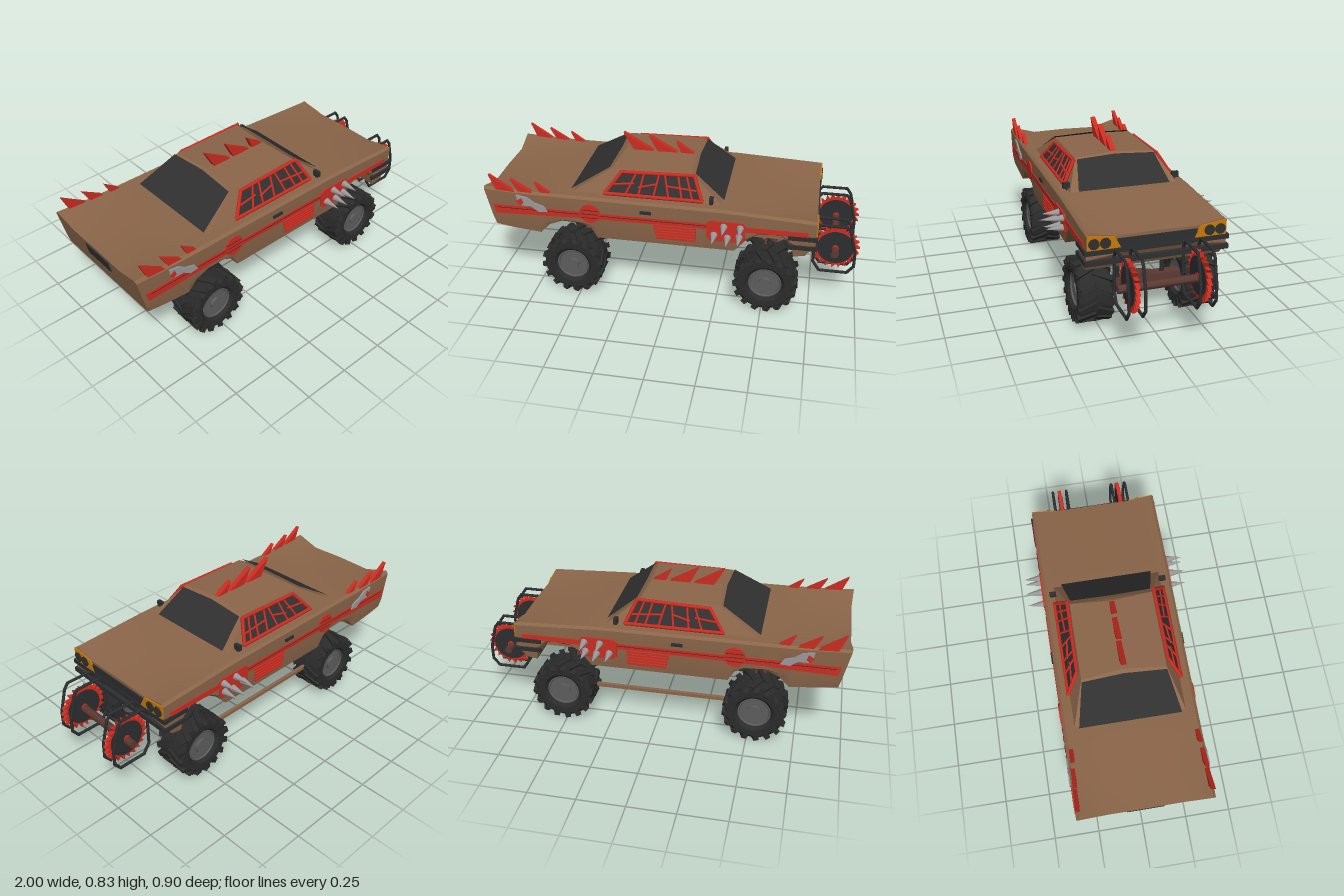
import * as THREE from 'three';
import { toCreasedNormals } from 'three/addons/utils/BufferGeometryUtils.js';
import { ConvexGeometry } from 'three/addons/geometries/ConvexGeometry.js';

const V = (x, y, z) => new THREE.Vector3(x, y, z);
const material = (name, color) => Object.assign(new THREE.MeshStandardMaterial({ color }), { name });

export function createModel() {
  const car = new THREE.Group();
  car.name = 'spikedCar';
  const paint = material('brown paint', 0x8a6549);
  const red = material('red trim', 0xcc2c20);
  const glass = material('dark glass', 0x303030);
  const black = material('black metal', 0x2c2e30);
  const rubber = material('tyre rubber', 0x2b2b2b);
  const steel = material('steel', 0x9a9a9c);
  const rimGrey = material('rim grey', 0x5e5e5e);
  const orange = material('orange lamp', 0xc87a08);
  const rust = material('rusty axle', 0x5c3a32);
  glass.side = THREE.DoubleSide;

  const add = (name, geo, mat, x = 0, y = 0, z = 0, parent = car) => {
    const m = new THREE.Mesh(geo, mat);
    m.name = name;
    m.position.set(x, y, z);
    parent.add(m);
    return m;
  };
  const box = (name, mat, w, h, d, x, y, z) => add(name, new THREE.BoxGeometry(w, h, d), mat, x, y, z);
  const extrude = (pts, depth) => new THREE.ExtrudeGeometry(
    new THREE.Shape(pts.map(p => new THREE.Vector2(...p))), { depth, bevelEnabled: false });
  // flat outline repeated on both flanks of the car
  const flank = (name, pts, mat, z = 0.354, depth = 0.008) => {
    for (const s of [1, -1]) add(name, extrude(pts, depth), mat, 0, 0, s > 0 ? z : -z - depth);
  };
  const rect = (x0, y0, x1, y1) => [[x0, y0], [x1, y0], [x1, y1], [x0, y1]];
  // round rod between two points
  const rod = (name, a, b, r, mat) => {
    const m = add(name, new THREE.CylinderGeometry(r, r, a.distanceTo(b) + r, 7), mat);
    m.position.lerpVectors(a, b, 0.5);
    m.quaternion.setFromUnitVectors(V(0, 1, 0), b.clone().sub(a).normalize());
  };
  const interp = (keys, x) => {
    for (let i = 1; i < keys.length; i++) {
      const [x0, y0] = keys[i - 1], [x1, y1] = keys[i];
      if (x <= x1) return y0 + (y1 - y0) * Math.max(0, (x - x0) / (x1 - x0));
    }
    return keys[keys.length - 1][1];
  };

  // Body shell: cross-sections lofted along x, the lower edge follows the wheel arches
  const stations = [[-1, 0.39], [-0.85, 0.375], [-0.701, 0.36], [-0.7, 0.365], [-0.65, 0.415], [-0.58, 0.445],
    [-0.47, 0.44], [-0.42, 0.415], [-0.39, 0.365], [-0.389, 0.36], [0, 0.36], [0.28, 0.36], [0.345, 0.36],
    [0.35, 0.365], [0.4, 0.425], [0.46, 0.468], [0.54, 0.477], [0.59, 0.474], [0.64, 0.42], [0.65, 0.365],
    [0.651, 0.36], [0.76, 0.37]];
  const shoulder = [[-1, 0.614], [-0.8, 0.602], [-0.5, 0.6], [0.28, 0.595], [0.76, 0.573]];
  const crown = [[-1, 0.58], [-0.55, 0.602], [0.28, 0.602], [0.76, 0.552]];
  const floor = [[-1, 0.39], [-0.7, 0.36], [0.65, 0.36], [0.76, 0.37]];
  const rings = stations.map(([x, arch]) => {
    const f = interp(floor, x), s = interp(shoulder, x), c = interp(crown, x);
    const half = [[0, f], [0.19, f], [0.19, arch], [0.345, arch], [0.354, Math.max(0.44, arch + 0.01)],
      [0.353, s - 0.012], [0.338, s], [0.2, c - 0.004], [0, c]];
    const lean = y => x === -1 ? -0.95 - 0.05 * (y - 0.39) / 0.222
      : x === 0.76 ? 0.76 - Math.max(0, 0.42 - y) : x;
    const mirrored = half.slice(1, -1).reverse().map(([z, y]) => [-z, y]);
    return [...half, ...mirrored].map(([z, y]) => [lean(y), y, z]);
  });
  const n = rings[0].length, idx = [], pos = rings.flat(2), last = (rings.length - 1) * n;
  for (let i = 0; i < rings.length - 1; i++) for (let j = 0; j < n; j++) {
    const a = i * n + j, b = i * n + (j + 1) % n, c = b + n, d = a + n;
    idx.push(a, d, c, a, c, b);
  }
  pos.push(-0.975, 0.5, 0, 0.76, 0.48, 0);
  for (let j = 0; j < n; j++) {
    const k = (j + 1) % n;
    idx.push(last + n, j, k, last + n + 1, last + k, last + j);
  }
  const shell = new THREE.BufferGeometry();
  shell.setAttribute('position', new THREE.Float32BufferAttribute(pos, 3));
  shell.setIndex(idx);
  add('bodyShell', toCreasedNormals(shell, 0.4), paint);

  // Cabin with windscreen, rear window and barred side windows
  const sideZ = y => 0.3 - (y - 0.595) * 0.6;
  const cabin = [];
  for (const s of [1, -1]) cabin.push(V(-0.55, 0.585, s * 0.3), V(0.28, 0.585, s * 0.3),
    V(-0.32, 0.725, s * sideZ(0.725)), V(0.1, 0.728, s * sideZ(0.728)));
  cabin.push(V(-0.3, 0.737, 0), V(0.08, 0.739, 0));
  add('cabin', new ConvexGeometry(cabin), paint);
  const pane = (name, pts) => {
    const g = new THREE.BufferGeometry().setFromPoints(pts);
    g.setIndex(pts.slice(2).flatMap((_, i) => [0, i + 1, i + 2]));
    g.computeVertexNormals();
    add(name, g, glass);
  };
  pane('windscreen', [V(0.276, 0.602, 0.25), V(0.276, 0.602, -0.25), V(0.12, 0.725, -0.215), V(0.112, 0.735, 0), V(0.12, 0.725, 0.215)]);
  pane('rearWindow', [V(-0.54, 0.604, -0.27), V(-0.54, 0.604, 0.27), V(-0.335, 0.727, 0.222), V(-0.325, 0.738, 0), V(-0.335, 0.727, -0.222)]);
  const outline = [[-0.35, 0.606], [-0.27, 0.708], [0.115, 0.717], [0.165, 0.606]];
  const bars = [[-0.24, 0.606, -0.19, 0.71], [-0.17, 0.606, -0.15, 0.71], [-0.09, 0.606, -0.07, 0.71], [-0.01, 0.606, -0.04, 0.714],
    [0.06, 0.606, 0.03, 0.714], [0.115, 0.606, 0.075, 0.714], [-0.31, 0.65, -0.2, 0.66], [-0.17, 0.645, -0.08, 0.665], [-0.02, 0.66, 0.13, 0.65]];
  for (const s of [1, -1]) {
    const at = ([x, y], off = 0) => V(x, y + off * 0.5, s * (sideZ(y) + off));
    pane('sideWindow', outline.map(p => at(p, 0.005)));
    outline.forEach((p, i) => rod('windowFrame', at(p, 0.006), at(outline[(i + 1) % 4], 0.006), 0.01, red));
    bars.forEach(b => rod('windowBar', at(b.slice(0, 2), 0.006), at(b.slice(2), 0.006), 0.006, red));
    box('mirror', black, 0.02, 0.032, 0.036, 0.215, 0.622, s * 0.302);
    rod('mirrorArm', V(0.215, 0.59, s * 0.3), V(0.215, 0.62, s * 0.3), 0.006, black);
  }

  // Red fins on roof and tail, all raked backwards
  const fin = (name, tip, x0, x1, y0, z, w) =>
    add(name, extrude([[x0, y0], [x1, y0], tip], w), red, 0, 0, z - w / 2);
  fin('roofFin', [-0.31, 0.832], -0.25, -0.13, 0.728, 0, 0.028);
  fin('roofFin', [-0.17, 0.825], -0.12, 0, 0.73, 0, 0.028);
  fin('roofFin', [-0.02, 0.8], 0.01, 0.09, 0.73, 0, 0.028);
  for (const s of [1, -1]) {
    fin('tailFin', [-0.968, 0.685], -0.93, -0.83, 0.596, s * 0.338, 0.022);
    fin('tailFin', [-0.85, 0.667], -0.81, -0.73, 0.596, s * 0.334, 0.022);
    fin('tailFin', [-0.72, 0.655], -0.69, -0.63, 0.594, s * 0.328, 0.022);
  }

  // Flank decoration
  flank('stripe', [[-0.955, 0.515], [-0.94, 0.465], [-0.8, 0.468], [-0.4, 0.482], [0.72, 0.485], [0.72, 0.513]], red, 0.354, 0.004);
  flank('stripeEdge', rect(-0.93, 0.5, 0.2, 0.503), black, 0.354, 0.005);
  const disc = Array.from({ length: 12 }, (_, i) => [-0.42 + 0.055 * Math.cos(i * Math.PI / 6), 0.51 + 0.055 * Math.sin(i * Math.PI / 6)]);
  flank('roundVent', disc, red);
  for (let i = 0; i < 3; i++) flank('ventSlot', rect(-0.465, 0.485 + i * 0.022, -0.375, 0.488 + i * 0.022), black, 0.354, 0.009);
  for (let i = 0; i < 5; i++) flank('louvre', rect(-0.08 + i * 0.004, 0.468 - i * 0.017, 0.145, 0.478 - i * 0.017), red);
  flank('spikePlate', [[0.2, 0.44], [0.22, 0.42], [0.39, 0.42], [0.4, 0.44], [0.4, 0.52], [0.385, 0.535], [0.22, 0.535], [0.2, 0.52]], red);
  flank('doorHandle', rect(-0.15, 0.537, -0.09, 0.553), black, 0.35, 0.012);
  flank('emblemBlade', [[-0.81, 0.535], [-0.79, 0.525], [-0.74, 0.525], [-0.7, 0.495], [-0.65, 0.5], [-0.67, 0.53], [-0.72, 0.545], [-0.76, 0.575], [-0.82, 0.585]], steel);
  flank('emblemGrip', [[-0.82, 0.55], [-0.8, 0.525], [-0.78, 0.54], [-0.79, 0.57]], red, 0.354, 0.009);
  for (const s of [1, -1])
    for (const [x, y] of [[0.24, 0.455], [0.29, 0.508], [0.31, 0.445], [0.37, 0.455], [0.375, 0.508]]) {
      const c = add('flankSpike', new THREE.ConeGeometry(0.021, 0.095, 8), steel, x, y, s * 0.405);
      c.rotation.x = s * Math.PI / 2;
    }

  // Front: grille, lamps and wrap-round bumper bars
  box('grille', black, 0.012, 0.05, 0.4, 0.76, 0.51, 0);
  for (const y of [0.477, 0.424]) {
    box('bumperBar', black, 0.025, 0.024, 0.73, 0.757, y, 0);
    for (const s of [1, -1]) box('bumperEnd', black, 0.145, 0.022, 0.014, 0.69, y, s * 0.357);
  }
  for (const s of [1, -1]) {
    add('lampPanel', extrude([[0.185, 0.49], [0.35, 0.49], [0.35, 0.567], [0.215, 0.548]].map(([z, y]) => [-s * z, y]), 0.008),
      orange, 0.759).rotation.y = Math.PI / 2;
    for (const z of [0.262, 0.318])
      add('headlamp', new THREE.CylinderGeometry(0.027, 0.027, 0.02, 14), glass, 0.762, 0.522, s * z).rotation.z = Math.PI / 2;
  }
  box('tailPanel', black, 0.012, 0.07, 0.19, -0.98, 0.525, 0).rotation.z = 0.22;

  // Wheels: tyre with chevron lugs, dished rim and hub
  const tyreProfile = [[0.086, -0.068], [0.105, -0.086], [0.14, -0.088], [0.157, -0.074], [0.159, 0],
    [0.157, 0.074], [0.14, 0.088], [0.105, 0.086], [0.086, 0.068]].map(p => new THREE.Vector2(...p));
  const tyreGeo = toCreasedNormals(new THREE.LatheGeometry(tyreProfile, 24), 0.5);
  const lugGeo = new THREE.BoxGeometry(0.028, 0.022, 0.1);
  for (const x of [-0.535, 0.515]) for (const s of [1, -1]) {
    const wheel = new THREE.Group();
    wheel.name = 'wheel';
    wheel.position.set(x, 0.175, s * 0.275);
    car.add(wheel);
    const turned = (name, geo, mat, z = 0) => { add(name, geo, mat, 0, 0, z, wheel).rotation.x = Math.PI / 2; };
    turned('tyre', tyreGeo, rubber);
    turned('rim', new THREE.CylinderGeometry(0.088, 0.088, 0.12, 20), rimGrey);
    turned('hub', new THREE.CylinderGeometry(0.03, 0.04, 0.15, 12), rimGrey);
    for (const z of [0.066, -0.066]) add('rimLip', new THREE.TorusGeometry(0.084, 0.007, 6, 20), rimGrey, 0, 0, z, wheel);
    for (let i = 0; i < 32; i++) {
      const side = i % 2 ? 1 : -1, a = i * Math.PI / 16;
      const pivot = new THREE.Group();
      pivot.name = 'treadLug';
      pivot.rotation.z = a;
      wheel.add(pivot);
      add('lug', lugGeo, rubber, 0, 0.158, side * 0.041, pivot).rotation.y = side * 0.45;
      add('shoulderLug', new THREE.BoxGeometry(0.026, 0.04, 0.012), rubber, 0.02, 0.138, side * 0.085, pivot);
    }
  }

  // Axles with a swollen middle, and a side link rod
  const axle = [[-0.25, 0.145], [-0.08, 0.145], [0, 0.125], [0.08, 0.145], [0.25, 0.145], [0.25, 0.212], [0.08, 0.212], [0, 0.23], [-0.08, 0.212], [-0.25, 0.212]];
  for (const x of [-0.535, 0.515]) {
    add('axle', extrude(axle, 0.06), rust, x - 0.03).rotation.y = Math.PI / 2;
    for (const z of [0.12, -0.12]) rod('strut', V(x, 0.19, z), V(x, 0.37, z), 0.012, black);
  }
  box('linkRod', paint, 0.75, 0.018, 0.02, -0.01, 0.185, -0.26);

  // Front saws on a cross shaft, each between two guard frames
  rod('sawShaft', V(0.865, 0.325, -0.225), V(0.865, 0.325, 0.225), 0.022, rust);
  const teeth = [];
  for (let i = 0; i < 22; i++) {
    const a = i * Math.PI / 11;
    teeth.push([0.1 * Math.cos(a), 0.1 * Math.sin(a)], [0.128 * Math.cos(a + 0.05), 0.128 * Math.sin(a + 0.05)]);
  }
  const guard = [[0.78, 0.485], [0.915, 0.485], [0.937, 0.455], [0.97, 0.33], [0.97, 0.25], [0.937, 0.208], [0.79, 0.208], [0.755, 0.26], [0.755, 0.45]];
  for (const s of [1, -1]) {
    add('sawTeeth', extrude(teeth, 0.02), red, 0.867, 0.338, s * 0.175 - 0.01);
    add('sawDisc', new THREE.CylinderGeometry(0.096, 0.096, 0.025, 24), black, 0.867, 0.338, s * 0.175).rotation.x = Math.PI / 2;
    add('sawHub', new THREE.CylinderGeometry(0.018, 0.018, 0.034, 8), red, 0.867, 0.338, s * 0.175).rotation.x = Math.PI / 2;
    for (const z of [0.135, 0.215]) guard.forEach((p, i) =>
      rod('guardFrame', V(...p, s * z), V(...guard[(i + 1) % guard.length], s * z), 0.008, black));
  }
  return car;
}
